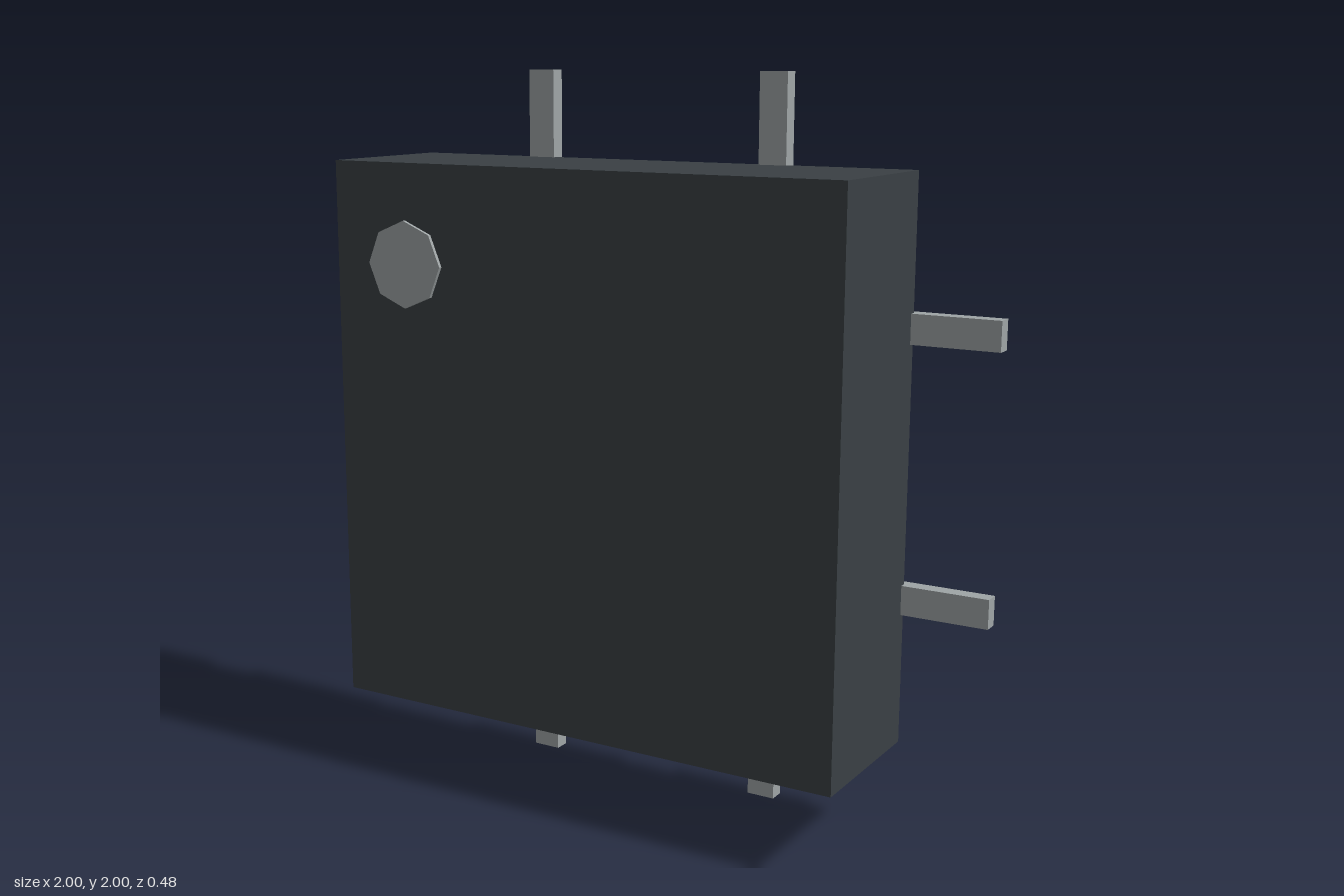
import * as THREE from 'three';

export function createModel() {
  const group = new THREE.Group();
  const bodyMaterial = new THREE.MeshStandardMaterial({ color: 0x3a4044 });
  bodyMaterial.name = 'charcoal';
  const metalMaterial = new THREE.MeshStandardMaterial({ color: 0x9fa5a6 });
  metalMaterial.name = 'pale grey metal';

  const add = (name, geometry, material, x, y, z) => {
    const mesh = new THREE.Mesh(geometry, material);
    mesh.name = name;
    mesh.position.set(x, y, z);
    group.add(mesh);
    return mesh;
  };

  // Square chip package
  add('chipBody', new THREE.BoxGeometry(1.52, 1.52, 0.433), bodyMaterial, 0, 1, 0.001);

  // Octagonal orientation marker, hovering just off the face
  const dot = new THREE.CylinderGeometry(0.118, 0.118, 0.01, 8).toNonIndexed();
  dot.computeVertexNormals();
  dot.rotateX(Math.PI / 2);
  add('orientationDot', dot, metalMaterial, -0.517, 1.49, 0.235);

  // Two contact pins on each of the four sides
  const sidePin = new THREE.BoxGeometry(0.3, 0.08, 0.043);
  const uprightPin = new THREE.BoxGeometry(0.08, 0.3, 0.043);
  for (const side of [-1, 1]) {
    for (const offset of [-0.36, 0.36]) {
      add(side > 0 ? 'leftPin' : 'rightPin', sidePin, metalMaterial, side * 0.85, 1 + offset, -0.2195);
      add(side > 0 ? 'topPin' : 'bottomPin', uprightPin, metalMaterial, offset, 1 + side * 0.85, -0.2195);
    }
  }
  return group;
}
